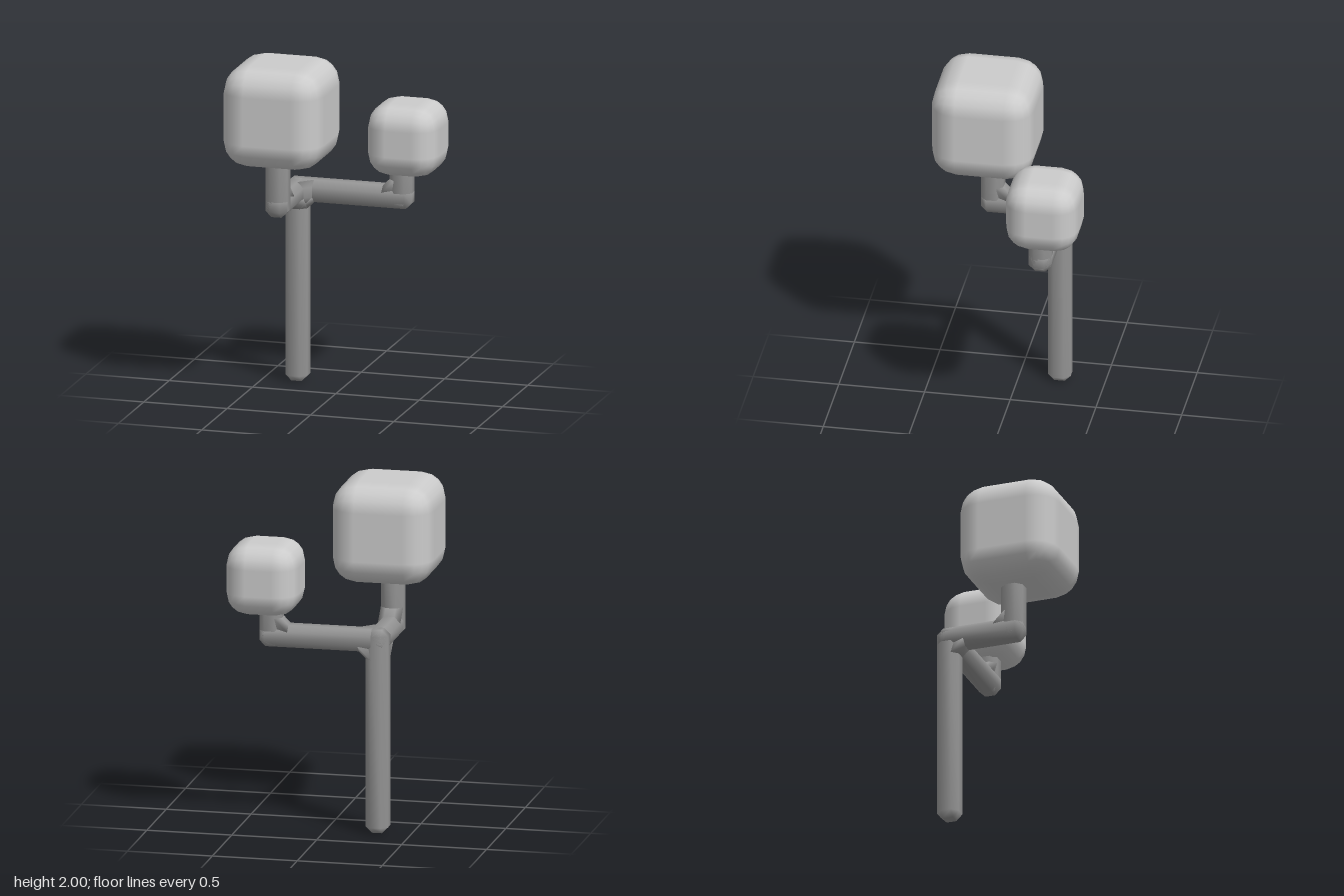
import * as THREE from 'three';
import { mergeVertices } from 'three/addons/utils/BufferGeometryUtils.js';
import { RoundedBoxGeometry } from 'three/addons/geometries/RoundedBoxGeometry.js';
import { ConvexGeometry } from 'three/addons/geometries/ConvexGeometry.js';

const H = 0.066; // half thickness of the wood
const B = 0.03;  // half width of its flat faces, inside the chamfers
const K = 0.04;  // reach of the fillets at the joints

const V = (x, y, z) => new THREE.Vector3(x, y, z);

// Convex hull with smooth normals
function smoothHull(points) {
  let geo = new ConvexGeometry(points);
  geo.deleteAttribute('normal');
  geo = mergeVertices(geo, 1e-4);
  geo.computeVertexNormals();
  return geo;
}

// Chamfered square beam around the line from a to b (a <= b on every axis)
function beam(a, b) {
  const points = [];
  for (const sx of [-1, 1]) for (const sy of [-1, 1]) for (const sz of [-1, 1]) {
    for (const [x, y, z] of [[H, B, B], [B, H, B], [B, B, H]]) {
      points.push(V(
        (sx < 0 ? a.x : b.x) + sx * x,
        (sy < 0 ? a.y : b.y) + sy * y,
        (sz < 0 ? a.z : b.z) + sz * z));
    }
  }
  return smoothHull(points);
}

// Chamfered web in the inner corner between directions u and v at joint c
function fillet(c, u, v) {
  const w = u.clone().cross(v);
  const points = [];
  for (const s of [-1, 1]) {
    for (const [p, q, r] of [[H + K, H, B], [H, H + K, B], [H + K, B, H], [B, H + K, H], [0, 0, B]]) {
      points.push(c.clone().addScaledVector(u, p).addScaledVector(v, q).addScaledVector(w, s * r));
    }
  }
  return smoothHull(points);
}

export function createModel() {
  const group = new THREE.Group();
  const leaf = new THREE.MeshStandardMaterial({ color: 0xcccccc });
  const wood = new THREE.MeshStandardMaterial({ color: 0x959595 });

  function add(name, geometry, material) {
    const mesh = new THREE.Mesh(geometry, material);
    mesh.name = name;
    group.add(mesh);
    return mesh;
  }

  // Trunk, two level branches and their upright ends
  const fork = V(-0.301, 1.136, -0.238);
  const sideEnd = V(0.325, 1.136, -0.238);
  const frontEnd = V(-0.301, 1.136, 0.155);
  const raised = (p, y) => V(p.x, y, p.z);
  add('trunk', beam(raised(fork, H), fork), wood);
  add('sideBranch', beam(fork, sideEnd), wood);
  add('sideBranchUpright', beam(sideEnd, raised(sideEnd, 1.4)), wood);
  add('frontBranch', beam(fork, frontEnd), wood);
  add('frontBranchUpright', beam(frontEnd, raised(frontEnd, 1.6)), wood);

  // Fillets in the inner corners of the joints
  const X = V(1, 0, 0), Y = V(0, 1, 0), Z = V(0, 0, 1);
  const neg = (d) => d.clone().negate();
  const joints = [
    [fork, X, neg(Y)], [fork, Z, neg(Y)], [fork, X, Z],
    [sideEnd, neg(X), Y], [frontEnd, neg(Z), Y],
  ];
  for (const [c, u, v] of joints) add('branchFillet', fillet(c, u, v), wood);

  // Rounded cubes of foliage
  const crown = (name, size, radius, x, y, z) =>
    add(name, new RoundedBoxGeometry(size, size, size, 2, radius), leaf).position.set(x, y, z);
  crown('largeCrown', 0.597, 0.155, -0.271, 1.7015, 0.18);
  crown('smallCrown', 0.425, 0.135, 0.353, 1.487, -0.267);

  return group;
}
